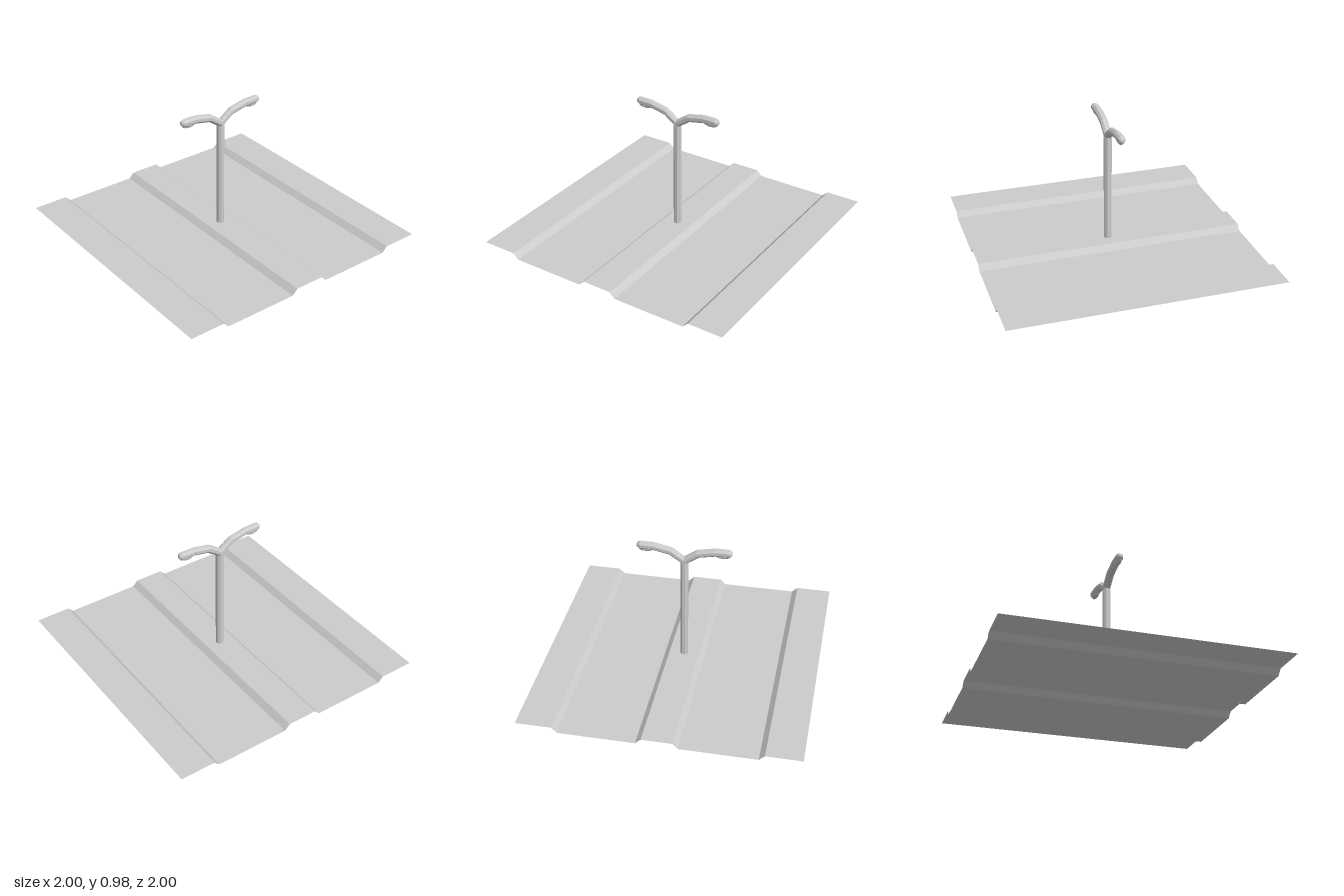
import * as THREE from 'three';

const SIDES = 8;
const R = 0.028;
const material = () => new THREE.MeshStandardMaterial({ color: 0xcccccc, flatShading: true, side: THREE.DoubleSide });

function mesh(name, geometry) {
  const m = new THREE.Mesh(geometry, material());
  m.name = name;
  return m;
}

// Join rows of points into a surface of quads
function loft(rows) {
  const n = rows[0].length;
  const index = [];
  for (let i = 0; i < rows.length - 1; i++) {
    for (let j = 0; j < n - 1; j++) {
      const a = i * n + j, b = a + n;
      index.push(a, b, a + 1, b, b + 1, a + 1);
    }
  }
  const g = new THREE.BufferGeometry();
  g.setAttribute('position', new THREE.Float32BufferAttribute(rows.flat(2), 3));
  g.setIndex(index);
  g.computeVertexNormals();
  return g;
}

// Road sheet: raised pavements and median, with sloped kerbs
function road() {
  const half = [[0.11, 0.04], [0.15, 0], [0.7, 0], [0.74, 0.04], [1, 0.04]];
  const profile = [...half.map(([x, y]) => [-x, y]).reverse(), ...half];
  return loft(profile.map(([x, y]) => [[x, y, -1], [x, y, 1]]));
}

// Bent arm: mitred rings [x, y, radius, lean], closing to a rounded tip
function arm(side) {
  const rings = [
    [0, 0.861, R, 0], [0.097, 0.929, R, -0.41], [0.22, 0.955, R, -0.1],
    [0.317, 0.956, R, 0], [0.332, 0.956, 0.022, 0],
    [0.341, 0.956, 0.012, 0], [0.342, 0.956, 0, 0],
  ];
  return loft(rings.map(([x, y, r, lean], i) => {
    const row = [];
    for (let k = 0; k <= SIDES; k++) {
      const a = -side * ((k + 0.5) / SIDES) * Math.PI * 2;
      const h = Math.cos(a) * r * (i === 0 ? 1.18 : 1.04);
      row.push([side * (x + Math.sin(lean) * h), y + Math.cos(lean) * h, Math.sin(a) * r * 1.04]);
    }
    return row;
  }));
}

export function createModel() {
  const model = new THREE.Group();
  model.name = 'streetLight';
  model.add(mesh('road', road()));

  // Pole
  const pole = mesh('pole', new THREE.CylinderGeometry(R * 1.04, R * 1.04, 0.808, SIDES));
  pole.geometry.rotateY(Math.PI / SIDES);
  pole.position.y = 0.444;
  model.add(pole);

  // Mirrored arms, each with a shallow lamp bowl underneath
  for (const side of [1, -1]) {
    const name = side > 0 ? 'left' : 'right';
    model.add(mesh(name + 'Arm', arm(side)));
    const bowl = new THREE.SphereGeometry(1, 12, 4, 0, Math.PI * 2, Math.PI / 2, Math.PI / 2);
    const lamp = mesh(name + 'Lamp', bowl);
    lamp.scale.set(0.055, 0.02, 0.022);
    lamp.position.set(side * 0.275, 0.932, 0);
    model.add(lamp);
  }
  return model;
}
